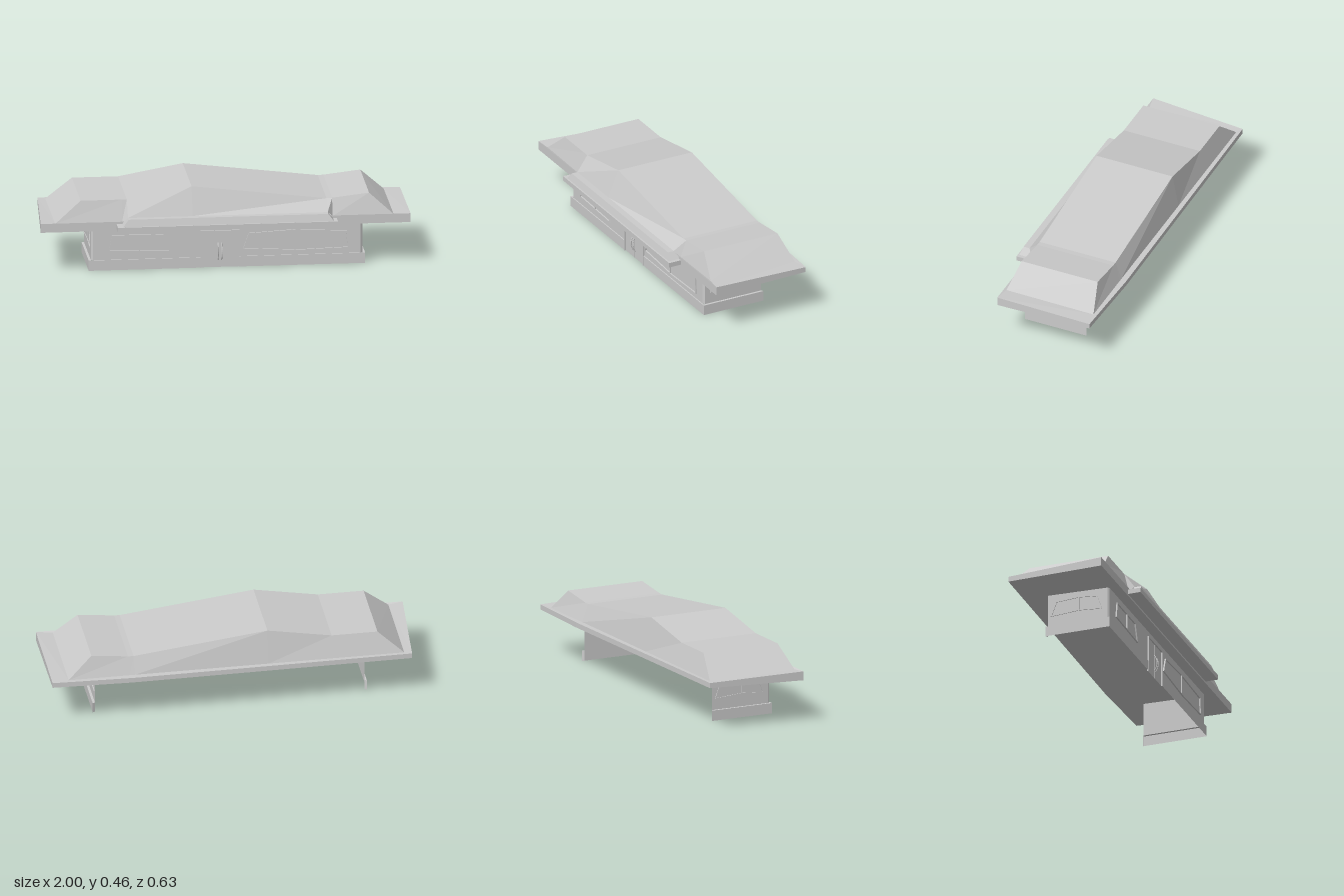
import * as THREE from 'three';

const mat = new THREE.MeshStandardMaterial({ color: 0xcccccc, side: THREE.DoubleSide, flatShading: true });

export function createModel() {
  const model = new THREE.Group();

  const add = (name, geometry, parent = model) => {
    const mesh = new THREE.Mesh(geometry, mat);
    mesh.name = name;
    parent.add(mesh);
    return mesh;
  };
  const group = (name) => {
    const g = new THREE.Group();
    g.name = name;
    model.add(g);
    return g;
  };

  // Skins consecutive rows of points (equal length) with flat quads
  const loft = (rows) => {
    const p = [];
    for (let i = 0; i < rows.length - 1; i++) {
      const a = rows[i], b = rows[i + 1];
      for (let j = 0; j < a.length - 1; j++) {
        p.push(...a[j], ...b[j], ...b[j + 1], ...a[j], ...b[j + 1], ...a[j + 1]);
      }
    }
    const g = new THREE.BufferGeometry();
    g.setAttribute('position', new THREE.Float32BufferAttribute(p, 3));
    g.computeVertexNormals();
    return g;
  };
  // Flat slab from an x/z outline; y may vary over depth
  const sheet = (outline, yAt) => {
    const g = new THREE.ShapeGeometry(new THREE.Shape(outline.map(([x, z]) => new THREE.Vector2(x, -z))));
    g.rotateX(-Math.PI / 2);
    const p = g.attributes.position;
    for (let i = 0; i < p.count; i++) p.setY(i, yAt(p.getZ(i)));
    g.computeVertexNormals();
    return g;
  };
  const atY = (path, y) => path.map(([x, z]) => [x, y, z]);

  // Roof: undulating top, steep front slope, hipped ends and back slope
  const profile = [[-0.78, 0.397], [-0.53, 0.397], [-0.18, 0.46], [0.56, 0.37], [0.78, 0.395]];
  const topY = (x) => {
    for (let i = 1; i < profile.length; i++) {
      const [x0, y0] = profile[i - 1], [x1, y1] = profile[i];
      if (x <= x1) return y0 + (y1 - y0) * (x - x0) / (x1 - x0);
    }
    return 0.395;
  };
  const foot = [
    [-0.92, 0.28, 0.23], [-0.56, 0.28, 0.235], [-0.53, 0.31, 0.26], [-0.18, 0.31, 0.26],
    [0.55, 0.31, 0.26], [0.58, 0.28, 0.235], [0.91, 0.28, 0.23],
  ];
  const xs = foot.map(([x]) => Math.max(-0.78, Math.min(0.78, x)));
  const front = xs.map((x) => [x, topY(x), 0.2]);
  const back = xs.map((x) => [x, topY(x), -0.25]);
  const backFoot = foot.map(([x]) => [x, 0.275, -0.285]);
  const roof = group('roof');
  add('frontSlope', loft([foot, front]), roof);
  add('roofTop', loft([front, back]), roof);
  add('backSlope', loft([back, backFoot]), roof);
  for (const i of [0, foot.length - 1]) {
    add('hipEnd', loft([[foot[i], backFoot[i]], [front[i], back[i]]]), roof);
  }

  // Eaves: tapered rim with a flat underside
  const rim = [[-1, 0.243], [1, 0.243], [1, -0.303], [0.56, -0.318], [-0.96, -0.305]];
  const rimTop = (z) => 0.281 + 0.018 * z;
  const rimLow = (z) => 0.241 - 0.02 * z;
  const loop = [...rim, rim[0]];
  const eaves = group('eaves');
  add('fascia', loft([loop.map(([x, z]) => [x, rimLow(z), z]), loop.map(([x, z]) => [x, rimTop(z), z])]), eaves);
  add('soffit', sheet(rim, rimLow), eaves);
  const upper = loop.map(([x, z]) => [x, rimTop(z), z]);
  const inner = [foot[0], foot[6], backFoot[6], [0.56, 0.275, -0.285], backFoot[0], foot[0]];
  add('eaveTop', loft([upper, inner]), eaves);

  // Entrance canopy: low tray with a raised lip
  const trayOutline = [[-0.59, 0.23], [-0.59, 0.315], [0.6, 0.315], [0.6, 0.23]];
  const canopy = group('canopy');
  add('canopyFascia', loft([atY(trayOutline, 0.246), atY(trayOutline, 0.272)]), canopy);
  add('canopyUnderside', sheet(trayOutline, () => 0.246), canopy);
  add('canopyLedge', sheet(trayOutline, () => 0.272), canopy);
  const lipLow = [[-0.56, 0.235], [-0.56, 0.306], [0.58, 0.306], [0.58, 0.235]];
  const lipHigh = [[-0.53, 0.26], [-0.53, 0.295], [0.55, 0.295], [0.55, 0.26]];
  add('canopyLip', loft([atY(lipLow, 0.272), atY(lipHigh, 0.31)]), canopy);
  add('canopyTop', sheet(lipHigh, () => 0.31), canopy);

  // Walls: three sides with bevelled front corners, open at the back
  const wallPath = [[-0.722, -0.168], [-0.722, 0.175], [-0.712, 0.184], [0.735, 0.184], [0.747, 0.175], [0.747, -0.168]];
  add('walls', loft([atY(wallPath, 0.057), atY(wallPath, 0.248)]));

  // Plinth in two runs, leaving a gap for the doorway
  const runs = [
    [[[-0.735, -0.175], [-0.735, 0.19], [-0.13, 0.19]], [[-0.722, -0.168], [-0.722, 0.184], [-0.13, 0.184]]],
    [[[0.08, 0.19], [0.76, 0.19], [0.76, -0.175]], [[0.08, 0.184], [0.747, 0.184], [0.747, -0.168]]],
  ];
  const plinth = group('plinth');
  for (const [outer, inside] of runs) {
    add('plinthRun', loft([atY(outer, 0), atY(outer, 0.057), atY(inside, 0.057)]), plinth);
    for (const i of [0, 2]) {
      add('plinthEnd', loft([[atY(outer, 0)[i], atY(outer, 0.057)[i]], [atY(inside, 0)[i], atY(inside, 0.057)[i]]]), plinth);
    }
  }

  // Double door with posts and bowed handles
  const box = (name, x, y, z, w, h, d, parent) =>
    add(name, new THREE.BoxGeometry(w, h, d), parent).position.set(x, y, z);
  const door = group('door');
  for (const x of [-0.0775, 0.0275]) box('doorLeaf', x, 0.1, 0.183, 0.103, 0.2, 0.004, door);
  for (const x of [-0.128, 0.078]) box('doorPost', x, 0.102, 0.187, 0.006, 0.204, 0.012, door);
  box('doorHead', -0.025, 0.202, 0.187, 0.212, 0.006, 0.012, door);
  box('doorMeetingStile', -0.025, 0.1, 0.186, 0.004, 0.2, 0.005, door);
  for (const x of [-0.035, -0.015]) {
    const arc = new THREE.QuadraticBezierCurve3(
      new THREE.Vector3(x, 0.04, 0.184), new THREE.Vector3(x, 0.088, 0.222), new THREE.Vector3(x, 0.135, 0.184));
    add('doorHandle', new THREE.TubeGeometry(arc, 10, 0.0025, 6), door);
  }

  // Window: thin polygonal frame, pane and mullion, drawn in its own plane
  const makeWindow = (name, pts, mullion, depth) => {
    const g = group(name);
    const n = pts.length;
    const cx = pts.reduce((s, p) => s + p[0], 0) / n;
    const cy = pts.reduce((s, p) => s + p[1], 0) / n;
    const w = Math.max(...pts.map((p) => Math.abs(p[0] - cx)));
    const h = Math.max(...pts.map((p) => Math.abs(p[1] - cy)));
    const shape = new THREE.Shape(pts.map(([x, y]) => new THREE.Vector2(x, y)));
    shape.holes.push(new THREE.Path(pts.map(([x, y]) =>
      new THREE.Vector2(cx + (x - cx) * (1 - 0.006 / w), cy + (y - cy) * (1 - 0.005 / h)))));
    add('windowFrame', new THREE.ExtrudeGeometry(shape, { depth, bevelEnabled: false }), g);
    const [mx, y0, y1] = mullion;
    box('windowMullion', mx, (y0 + y1) / 2, depth / 2, 0.004, y1 - y0, depth, g);
    return g;
  };
  makeWindow('frontRightWindow', [[-0.625, 0.104], [-0.295, 0.093], [-0.33, 0.192], [-0.61, 0.195]],
    [-0.46, 0.1, 0.193], 0.008).position.z = 0.184;
  makeWindow('frontLeftWindow',
    [[0.1, 0.098], [0.4, 0.08], [0.672, 0.088], [0.662, 0.184], [0.37, 0.198], [0.13, 0.185]],
    [0.38, 0.083, 0.196], 0.008).position.z = 0.184;
  const sidePts = [[-0.145, 0.118], [-0.015, 0.128], [0.15, 0.116], [0.12, 0.2], [-0.015, 0.21], [-0.115, 0.2]];
  const leftWindow = makeWindow('leftSideWindow', sidePts, [-0.015, 0.129, 0.208], 0.004);
  leftWindow.rotation.y = Math.PI / 2;
  leftWindow.position.x = 0.747;
  const rightWindow = makeWindow('rightSideWindow', sidePts.map(([x, y]) => [-x, y]).reverse(),
    [0.015, 0.129, 0.208], 0.004);
  rightWindow.rotation.y = -Math.PI / 2;
  rightWindow.position.x = -0.722;

  return model;
}
